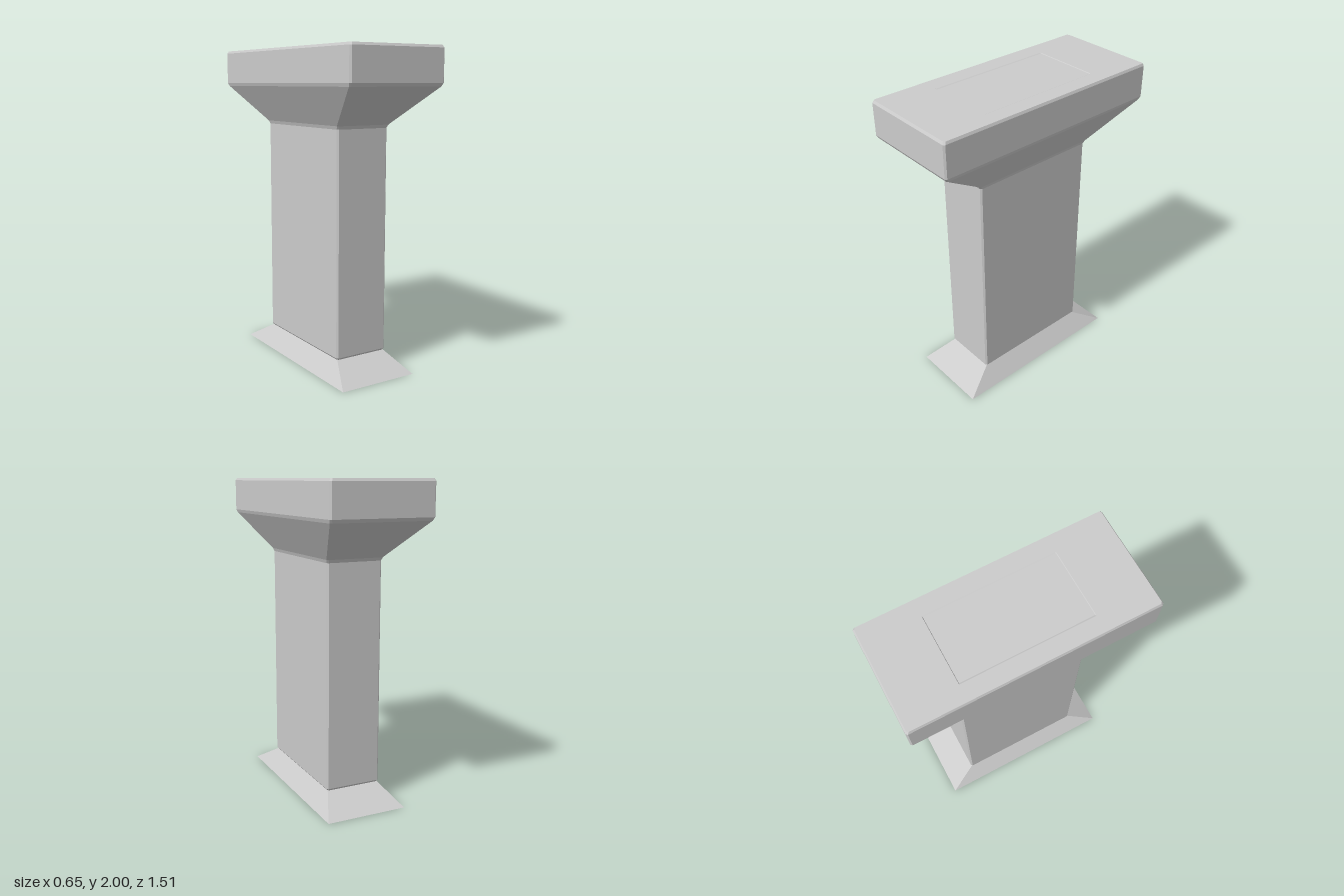
import * as THREE from 'three';

const material = new THREE.MeshStandardMaterial({ color: 0xcccccc, flatShading: true });

// Rectangle outline with bevelled corners, counter-clockwise from above
function outline({ y, x, z, bevel = 0 }) {
  const points = [];
  for (const [sx, sz] of [[1, 1], [1, -1], [-1, -1], [-1, 1]]) {
    const pair = [[sx * (x - bevel), y, sz * z], [sx * x, y, sz * (z - bevel)]];
    if (sx * sz < 0) pair.reverse();
    points.push(...pair);
  }
  return points;
}

// Closed solid skinned over outlines stacked from bottom to top
function loft(name, sections) {
  const rings = sections.map(outline);
  const n = rings[0].length;
  const positions = rings.flat(2);
  const index = [];
  for (let r = 0; r < rings.length - 1; r++) {
    for (let i = 0; i < n; i++) {
      const a = r * n + i, b = r * n + (i + 1) % n;
      index.push(a, b, b + n, a, b + n, a + n);
    }
  }
  const top = (rings.length - 1) * n;
  for (let i = 1; i < n - 1; i++) {
    index.push(0, i + 1, i, top, top + i, top + i + 1);
  }
  const geometry = new THREE.BufferGeometry();
  geometry.setAttribute('position', new THREE.Float32BufferAttribute(positions, 3));
  geometry.setIndex(index);
  geometry.computeVertexNormals();
  const mesh = new THREE.Mesh(geometry, material);
  mesh.name = name;
  return mesh;
}

export function createModel() {
  const group = new THREE.Group();
  group.name = 'pillar';

  // Splayed foot
  group.add(loft('foot', [
    { y: 0, x: 0.26, z: 0.6 },
    { y: 0.12, x: 0.17, z: 0.4 },
  ]));

  // Upright shaft with softened edges
  group.add(loft('shaft', [
    { y: 0.115, x: 0.17, z: 0.405, bevel: 0.008 },
    { y: 0.128, x: 0.18, z: 0.414, bevel: 0.01 },
    { y: 1.52, x: 0.18, z: 0.414, bevel: 0.01 },
  ]));

  // Flared capital, slab and very slightly dished top
  group.add(loft('capital', [
    { y: 1.52, x: 0.18, z: 0.414, bevel: 0.01 },
    { y: 1.54, x: 0.187, z: 0.425, bevel: 0.01 },
    { y: 1.767, x: 0.32, z: 0.742, bevel: 0.01 },
    { y: 1.787, x: 0.327, z: 0.754, bevel: 0.01 },
    { y: 1.985, x: 0.327, z: 0.754, bevel: 0.01 },
    { y: 2.0, x: 0.32, z: 0.745, bevel: 0.01 },
    { y: 1.997, x: 0.216, z: 0.403, bevel: 0.002 },
    { y: 1.993, x: 0.208, z: 0.4, bevel: 0.002 },
  ]));

  return group;
}
